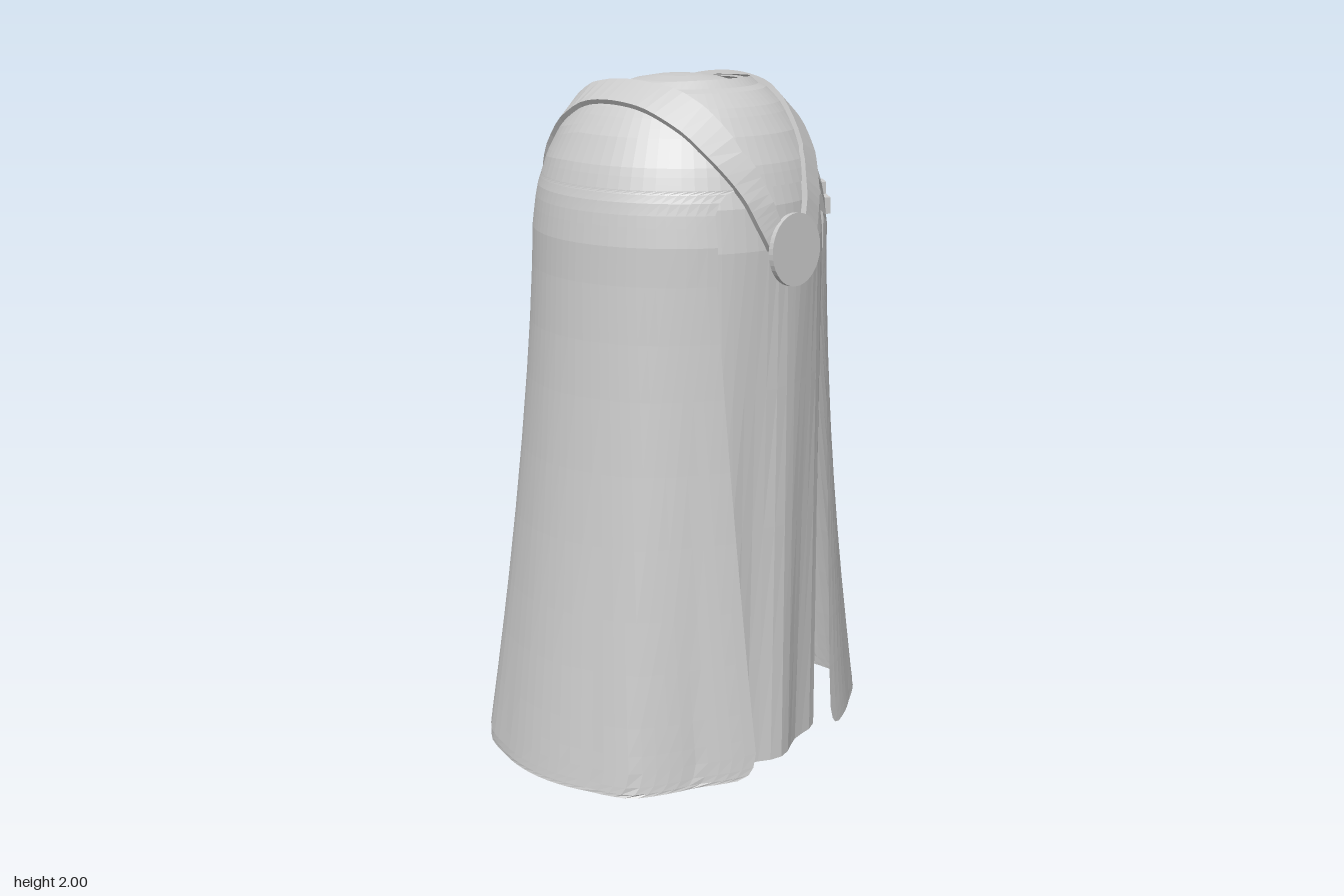
import * as THREE from 'three';

const CZ = 0.04; // axis of the garment
const rad = THREE.MathUtils.degToRad, lerp = THREE.MathUtils.lerp;
const material = new THREE.MeshStandardMaterial({ color: 0xcccccc, flatShading: true, side: THREE.DoubleSide });

// Piecewise linear lookup in [key, value] pairs with rising keys
function lookup(pairs, k) {
  if (k <= pairs[0][0]) return pairs[0][1];
  for (let i = 1; i < pairs.length; i++) {
    const [a, va] = pairs[i - 1], [b, vb] = pairs[i];
    if (k <= b) return lerp(va, vb, (k - a) / (b - a));
  }
  return pairs[pairs.length - 1][1];
}

// Shoulder dome: radius -> height, and its inverse
const dome = [[0.19, 1.985], [0.235, 1.965], [0.28, 1.925], [0.325, 1.865], [0.365, 1.79], [0.395, 1.7], [0.41, 1.6]];
const domeInverse = dome.map(([r, y]) => [y, r]).reverse();
const domeY = r => lookup(dome, r);
const domeR = y => lookup(domeInverse, y);

// Wavy hem: angle in degrees from the front towards the left -> radius
const hem = [[21, .503], [43.5, .538], [55, .574], [62.5, .564], [77, .524], [87, .561], [98, .556], [112, .552],
  [124, .569], [140, .575], [157, .555], [169, .539], [180, .57], [191, .539], [206.6, .559], [221, .581],
  [237, .585], [248, .57], [266, .561], [287, .554], [300.6, .569], [320, .511], [341, .519]];

function capeR(y, deg) {
  if (y >= 1.6) return domeR(y);
  const t = Math.pow(Math.min(1, (1.6 - y) / 1.55), 1.4);
  return lerp(0.41, lookup(hem, deg), t);
}

const polar = (r, y, deg) => [r * Math.sin(rad(deg)), y, CZ + r * Math.cos(rad(deg))];

// Grid surface: point(row, column) gives [x, y, z]
function surface(name, rows, cols, point) {
  const pos = [], index = [];
  for (let i = 0; i <= rows; i++) for (let j = 0; j <= cols; j++) pos.push(...point(i, j));
  for (let i = 0; i < rows; i++) for (let j = 0; j < cols; j++) {
    const a = i * (cols + 1) + j, c = a + cols + 1;
    index.push(a, c, a + 1, a + 1, c, c + 1);
  }
  const g = new THREE.BufferGeometry();
  g.setAttribute('position', new THREE.Float32BufferAttribute(pos, 3));
  g.setIndex(index);
  g.computeVertexNormals();
  const mesh = new THREE.Mesh(g, material);
  mesh.name = name;
  return mesh;
}

// Cape shoulders, with a neckline that drops at the back
function capeShoulders() {
  const rows = 14, cols = 72, bottom = domeR(1.74);
  return surface('capeShoulders', rows, cols, (i, j) => {
    const deg = j / cols * 360;
    const back = Math.max(0, (-Math.cos(rad(deg)) - 0.2) / 0.8);
    const r = lerp(0.19 + 0.09 * back, bottom, Math.sin(i / rows * Math.PI / 2));
    const lift = i === 0 ? 0.012 * Math.max(0, Math.cos(rad(deg))) : 0;
    return polar(r, i === rows ? 1.74 : domeY(r) + lift, deg);
  });
}

// Cape body, open at the front with rounded corners
function capeBody() {
  const ys = [1.74, 1.73, 1.71, 1.68, 1.65, 1.6, 1.5, 1.35, 1.2, 1, 0.8, 0.6, 0.45, 0.3, 0.22, 0.17, 0.13, 0.11, 0.1];
  const leftX = [[.1, .23], [.11, .205], [.13, .19], [.17, .18], [.3, .18], [1.65, .24], [1.68, .24], [1.71, .23], [1.73, .21], [1.74, .18]];
  const rightX = [[.1, .23], [.11, .2], [.13, .185], [.17, .175], [.3, .18], [1.5, .22], [1.68, .215], [1.71, .2], [1.73, .18], [1.74, .15]];
  const cols = 80;
  return surface('capeBody', ys.length - 1, cols, (i, j) => {
    const y0 = ys[i];
    const start = THREE.MathUtils.radToDeg(Math.asin(lookup(leftX, y0) / capeR(y0, 22)));
    const end = 360 - THREE.MathUtils.radToDeg(Math.asin(lookup(rightX, y0) / capeR(y0, 338)));
    const deg = lerp(start, end, j / cols);
    const hemY = 0.05 + 0.1 * (CZ + lookup(hem, deg) * Math.cos(rad(deg)));
    const y = lerp(1.74, hemY, (1.74 - y0) / 1.64);
    return polar(capeR(y, deg), y, deg);
  });
}

// Inner robe: domed top and a gently folded skirt
function robe() {
  const profile = [[0, 2], [.06, 1.997], [.12, 1.987], [.19, 1.965], [.235, 1.945], [.27, 1.912], [.315, 1.85],
    [.355, 1.775], [.383, 1.69], [.398, 1.58], [.402, 1.2], [.405, .8], [.408, .4], [.41, .065]];
  const cols = 72;
  return surface('robe', profile.length - 1, cols, (i, j) => {
    const [r, y] = profile[i], deg = j / cols * 360, a = rad(deg);
    const fold = 0.014 * Math.max(0, 1.6 - y) / 1.54 * (Math.cos(12 * a) + 0.4 * Math.sin(5 * a));
    return polar(r + fold, y, deg);
  });
}

// Strap that loops from the clasp over both shoulders and round the back
function strap() {
  // half edges as [x, z], with y given where the surface is steep
  const inner = [[.035, .445, 1.62], [.06, .44, 1.68], [.09, .425, 1.76], [.125, .345], [.16, .24], [.185, .13],
    [.193, .04], [.185, -.1], [.165, -.22], [.14, -.285], [.09, -.302], [0, -.305]];
  const outer = [[.085, .44, 1.58], [.115, .43, 1.64], [.15, .4, 1.72], [.2, .33], [.235, .24], [.258, .14],
    [.267, .04], [.258, -.1], [.23, -.22], [.19, -.3], [.11, -.338], [0, -.342]];
  const curve = half => {
    const pts = half.map(([x, z, y]) => new THREE.Vector3(x, y ?? domeY(Math.hypot(x, z - CZ)), z));
    const mirrored = pts.slice(0, -1).reverse().map(p => new THREE.Vector3(-p.x, p.y, p.z));
    return new THREE.CatmullRomCurve3([...pts, ...mirrored]);
  };
  const edges = [curve(inner), curve(outer)], n = 88, centre = new THREE.Vector3(0, 1.5, CZ);
  const snap = (edge, t, lift) => {
    const p = edges[edge].getPoint(t), r = Math.hypot(p.x, p.z - CZ);
    if (r < 0.36) p.y = domeY(r);
    else {
      const k = domeR(p.y) / r;
      p.x *= k;
      p.z = CZ + (p.z - CZ) * k;
    }
    return p.addScaledVector(p.clone().sub(centre).normalize(), lift).toArray();
  };
  const section = [[0, -0.004], [0, 0.014], [1, 0.014], [1, -0.004], [0, -0.004]];
  return surface('shoulderStrap', n, 4, (i, j) => snap(section[j][0], i / n, section[j][1]));
}

// Round clasp at the chest
function clasp() {
  const mesh = new THREE.Mesh(new THREE.CylinderGeometry(0.096, 0.096, 0.014, 40), material);
  mesh.name = 'clasp';
  mesh.position.set(0, 1.575, 0.46);
  mesh.rotation.x = Math.PI / 2 - 0.06;
  return mesh;
}

// Small cross-shaped pin on the left breast
function pin() {
  const group = new THREE.Group();
  group.name = 'breastPin';
  const bars = [['pinUpright', 0.042, 0.19, 0], ['pinCrossbar', 0.135, 0.046, 0.038]];
  for (const [name, w, h, y] of bars) {
    const bar = new THREE.Mesh(new THREE.BoxGeometry(w, h, 0.016), material);
    bar.name = name;
    bar.position.y = y;
    group.add(bar);
  }
  group.position.set(...polar(0.409, 1.605, 54));
  group.rotation.set(-0.05, rad(54), 0.06, 'YXZ');
  return group;
}

export function createModel() {
  const model = new THREE.Group();
  model.name = 'cloakAndRobe';
  model.add(robe(), capeShoulders(), capeBody(), strap(), clasp(), pin());
  return model;
}
